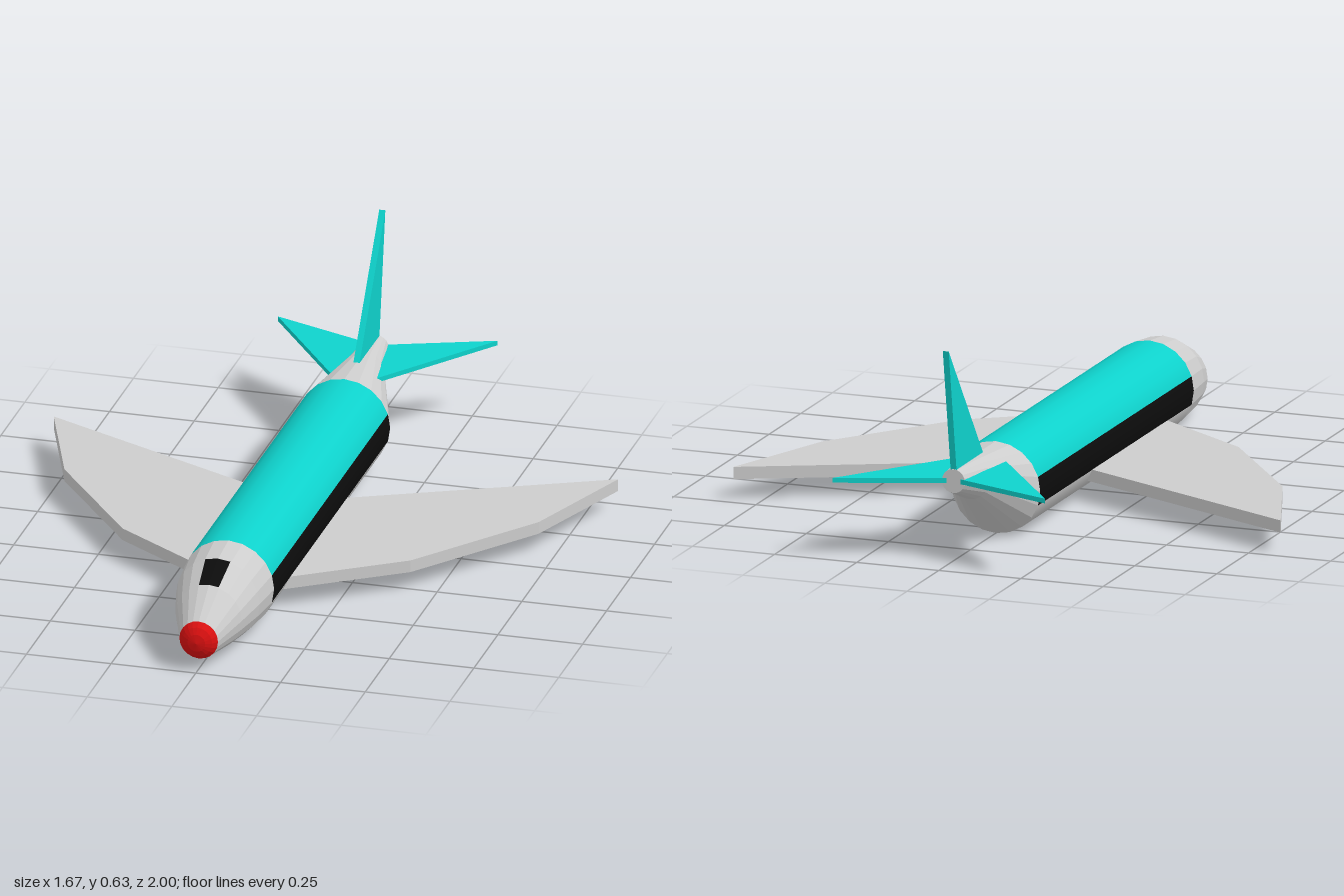
import * as THREE from 'three';

const paint = (color) => new THREE.MeshStandardMaterial({ color });

// Skin over circular sections [z, centreY, radius], listed front to back,
// between two angles (degrees, 0 = left side, 90 = top).
function skin(sections, from, to, smooth = false, step = 18) {
  const n = Math.round((to - from) / step);
  const pos = [], nor = [], index = [];
  for (const [z, cy, r] of sections) {
    for (let i = 0; i <= n; i++) {
      const a = THREE.MathUtils.degToRad(from + ((to - from) * i) / n);
      pos.push(r * Math.cos(a), cy + r * Math.sin(a), z);
      nor.push(Math.cos(a), Math.sin(a), 0);
    }
  }
  for (let s = 0; s < sections.length - 1; s++) {
    for (let i = 0; i < n; i++) {
      const a = s * (n + 1) + i, b = a + 1, c = a + n + 1, d = c + 1;
      index.push(a, c, b, b, c, d);
    }
  }
  const geo = new THREE.BufferGeometry();
  geo.setAttribute('position', new THREE.Float32BufferAttribute(pos, 3));
  geo.setIndex(index);
  if (smooth) {
    geo.setAttribute('normal', new THREE.Float32BufferAttribute(nor, 3));
    return geo;
  }
  const flat = geo.toNonIndexed();
  flat.computeVertexNormals();
  return flat;
}

// Flat slab from an outline of 2D points.
function slab(points, depth) {
  const shape = new THREE.Shape(points.map(([x, y]) => new THREE.Vector2(x, y)));
  return new THREE.ExtrudeGeometry(shape, { depth, bevelEnabled: false });
}

// Horizontal slab from [x, z] points with its upper face at height top.
function surface(points, side, top, thickness) {
  return slab(points.map(([x, z]) => [x * side, z]), thickness)
    .rotateX(Math.PI / 2)
    .translate(0, top, 0);
}

export function createModel() {
  const group = new THREE.Group();
  const grey = paint(0xcccccc);
  const teal = paint(0x0ed2cc);
  const black = paint(0x0c0c0c);
  const red = paint(0xdd1010);

  const add = (name, geometry, material) => {
    const mesh = new THREE.Mesh(geometry, material);
    mesh.name = name;
    group.add(mesh);
  };

  // Straight cabin: teal roof, black window bands, grey belly
  const cabin = [[0.66, 0.135, 0.135], [-0.55, 0.135, 0.135]];
  add('cabinRoof', skin(cabin, 18, 162, true), teal);
  add('leftWindowBand', skin(cabin, -18, 18, true), black);
  add('rightWindowBand', skin(cabin, 162, 198, true), black);
  add('belly', skin(cabin, 198, 342, true), grey);

  // Drooping nose and its red tip
  const nose = [[0.97, 0.09, 0.056], [0.865, 0.117, 0.098], [0.77, 0.133, 0.124], [0.66, 0.135, 0.135]];
  add('nose', skin(nose, 0, 360), grey);
  const tip = [[1, 0.09, 0.0001], [0.995, 0.09, 0.026], [0.985, 0.09, 0.044], [0.97, 0.09, 0.057]];
  add('noseTip', skin(tip, 0, 360), red);

  // Windscreen plate lying on the nose
  const screen = nose.slice(1, 3).map(([z, cy, r]) => [z, cy, r + 0.002]);
  add('windscreen', skin(screen, 73, 107, false, 17), black);

  // Tail cone swept up at the bottom, closed by a small disc
  const tail = [[-0.55, 0.135, 0.135], [-0.757, 0.21, 0.06], [-0.885, 0.234, 0.035]];
  add('tailCone', skin(tail, 0, 360), grey);
  add('tailCap', new THREE.CircleGeometry(0.035, 20).rotateY(Math.PI).translate(0, 0.234, -0.885), grey);

  // Wings and tailplanes, mirrored
  const wing = [[0.1, 0.488], [0.425, 0.263], [0.7, -0.103], [0.833, -0.462], [0.1, -0.11]];
  const tailplane = [[0.02, -0.58], [0.324, -1], [0.03, -0.888], [0, -0.878]];
  for (const [label, side] of [['left', 1], ['right', -1]]) {
    add(label + 'Wing', surface(wing, side, 0.094, 0.036), grey);
    add(label + 'Tailplane', surface(tailplane, side, 0.241, 0.014), teal);
  }

  // Upright fin, outlined as [z, y]
  const fin = slab([[-0.65, 0.235], [-0.945, 0.63], [-0.878, 0.235]], 0.018)
    .translate(0, 0, -0.009)
    .rotateY(-Math.PI / 2);
  add('fin', fin, teal);

  return group;
}
